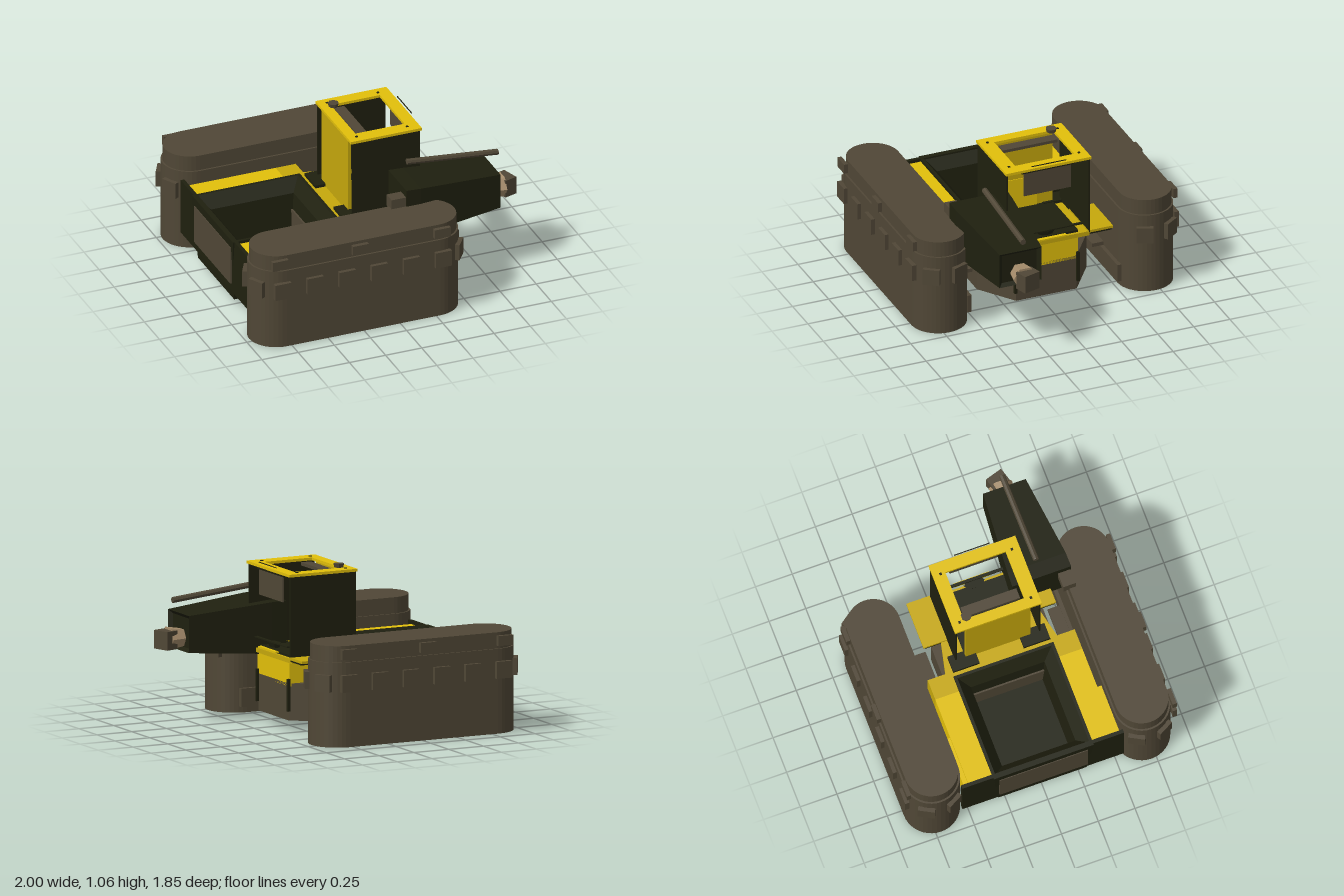
import * as THREE from 'three';

const mat = (name, color) => Object.assign(new THREE.MeshStandardMaterial({ color, side: THREE.DoubleSide, flatShading: true }), { name });

export function createModel() {
  const root = new THREE.Group();
  root.name = 'trackedHauler';
  const yellow = mat('bright yellow paint', 0xe2c00a);
  const dull = mat('dull yellow paint', 0xc6a80c);
  const dark = mat('dark olive', 0x1f200f);
  const grey = mat('brown grey', 0x504736);
  const tan = mat('tan metal', 0xa58c6b);

  const add = (name, geo, m, parent = root) => {
    const mesh = new THREE.Mesh(geo, m);
    mesh.name = name;
    parent.add(mesh);
    return mesh;
  };
  // box given by its limits
  const box = (name, m, x0, x1, y0, y1, z0, z1, parent = root) => add(name,
    new THREE.BoxGeometry(x1 - x0, y1 - y0, z1 - z0)
      .translate((x0 + x1) / 2, (y0 + y1) / 2, (z0 + z1) / 2), m, parent);
  // same box on both sides of the model
  const pair = (name, m, x0, x1, y0, y1, z0, z1) => {
    box(name, m, x0, x1, y0, y1, z0, z1);
    box(name, m, x0, x1, y0, y1, -z1, -z0);
  };
  // stack of rectangles [y, x0, x1, z0, z1] joined into a closed skin
  const loft = (sections) => {
    const rings = sections.map(([y, x0, x1, z0, z1]) =>
      [[x0, y, z1], [x1, y, z1], [x1, y, z0], [x0, y, z0]]);
    const pos = [];
    const quad = (a, b, c, d) => [a, b, c, a, c, d].forEach((p) => pos.push(...p));
    for (let i = 0; i + 1 < rings.length; i++) {
      for (let k = 0; k < 4; k++) {
        const n = (k + 1) % 4;
        quad(rings[i][k], rings[i][n], rings[i + 1][n], rings[i + 1][k]);
      }
    }
    const [a, b, c, d] = rings[0];
    quad(d, c, b, a);
    quad(...rings[rings.length - 1]);
    const g = new THREE.BufferGeometry();
    g.setAttribute('position', new THREE.Float32BufferAttribute(pos, 3));
    g.computeVertexNormals();
    return g;
  };
  // plan outline raised from y0 to y1
  const raise = (shape, y0, y1) => new THREE.ExtrudeGeometry(shape,
    { depth: y1 - y0, bevelEnabled: false, curveSegments: 10 }).rotateX(-Math.PI / 2).translate(0, y0, 0);
  const plan = (pts) => new THREE.Shape(pts.map(([x, z]) => new THREE.Vector2(x, -z)));
  const mirrored = (pts) => plan([...pts, ...pts.slice().reverse().map(([x, z]) => [x, -z])]);

  // track units with cleats
  const XA = -0.785, XB = 0.275, R = 0.185;
  const stadium = (r) => {
    const s = new THREE.Shape();
    s.moveTo(XA, -r);
    s.lineTo(XB, -r);
    s.absarc(XB, 0, r, -Math.PI / 2, Math.PI / 2, false);
    s.lineTo(XA, r);
    s.absarc(XA, 0, r, Math.PI / 2, Math.PI * 1.5, false);
    return s;
  };
  for (const side of [1, -1]) {
    const track = new THREE.Group();
    track.name = side > 0 ? 'trackNear' : 'trackFar';
    track.position.z = side * 0.715;
    root.add(track);
    add('trackBody', raise(stadium(R), 0, 0.55), grey, track);
    add('trackCap', raise(stadium(R - 0.012), 0.55, 0.655), grey, track);
    box('bottomSlot', dark, XA, XB, -0.002, 0.004, -0.012, 0.012, track);
    for (let i = 0; i < 6; i++) {
      const x = -0.82 + i * 0.222;
      box('cleat', grey, x - 0.056, x + 0.056, 0.36, 0.47, side * 0.195 - 0.015, side * 0.195 + 0.015, track);
    }
    for (const x of [-0.835, -0.28, 0.285]) {
      box('upperCleat', grey, x - 0.055, x + 0.055, 0.57, 0.635, side * 0.188 - 0.014, side * 0.188 + 0.014, track);
    }
    for (const [cx, base] of [[XA, Math.PI], [XB, 0]]) {
      for (const turn of [-0.5, 0.5]) {
        const a = base + turn - (base ? 0 : side * -0.12);
        const c = add('endCleat', new THREE.BoxGeometry(0.03, 0.11, 0.11), grey, track);
        c.position.set(cx + 0.196 * Math.cos(a), 0.415, 0.196 * Math.sin(a));
        c.rotation.y = -a;
      }
    }
    box('innerRail', grey, -0.56, 0.33, 0.04, 0.16, -side * 0.195 - 0.015, -side * 0.195 + 0.015, track);
    box('axleArm', grey, -0.14, 0.13, 0.21, 0.235, -side * 0.26 - 0.04, -side * 0.26 + 0.04, track);
  }

  // chassis
  add('hull', raise(mirrored([[-0.28, 0.38], [0.12, 0.38], [0.36, 0.21]]), 0.07, 0.31), grey);
  add('bellyPlate', loft([[0.02, -0.86, -0.3, -0.2, 0.2], [0.06, -0.9, -0.26, -0.29, 0.29]]), dark);
  box('bellyPanel', dark, -0.8, -0.36, 0.012, 0.02, -0.15, 0.15);
  box('noseBlock', yellow, -0.1, 0.36, 0.29, 0.48, -0.22, 0.22);
  pair('nosePost', dark, 0.355, 0.375, 0.13, 0.34, 0.205, 0.225);

  // hopper: outer skin, rim, sloped inside and floor
  add('hopper', loft([
    [0.06, -0.9, -0.24, -0.3, 0.3], [0.49, -0.925, -0.18, -0.34, 0.34],
    [0.5, -0.925, -0.18, -0.34, 0.34], [0.5, -0.9, -0.2, -0.32, 0.32],
    [0.42, -0.83, -0.26, -0.25, 0.25], [0.16, -0.81, -0.28, -0.23, 0.23],
  ]), dark);
  box('rearWall', dark, -0.915, -0.89, 0.12, 0.5, -0.55, 0.55);
  box('rearPanel', grey, -0.927, -0.915, 0.18, 0.44, -0.3, 0.3);
  pair('sideDeck', yellow, -0.89, -0.28, 0.3, 0.48, 0.335, 0.5);
  pair('sideDeckEnd', dull, -0.28, -0.14, 0.3, 0.48, 0.335, 0.5);
  pair('deckEdge', yellow, -0.89, -0.55, 0.3, 0.46, 0.5, 0.53);

  // deck and wings around the cab
  add('midDeck', raise(mirrored([[-0.185, 0.38], [-0.14, 0.38], [0.08, 0.33], [0.38, 0.29]]), 0.45, 0.48), dull);
  pair('deckHatch', dark, -0.15, -0.04, 0.48, 0.5, 0.15, 0.33);
  pair('wing', dull, 0.07, 0.39, 0.475, 0.492, 0.28, 0.45);
  pair('wingLip', dark, 0.07, 0.39, 0.465, 0.475, 0.29, 0.44);

  // cab
  pair('cabSide', dark, -0.08, 0.39, 0.48, 1.015, 0.28, 0.29);
  box('cabBack', dull, -0.08, -0.06, 0.48, 1.015, -0.22, 0.22);
  box('cabBackPatch', yellow, -0.06, -0.055, 0.495, 0.705, -0.11, 0.22);
  box('cabFloor', dark, -0.06, 0.36, 0.48, 0.495, -0.22, 0.22);
  box('cabCrossbar', grey, 0, 0.07, 0.99, 1.01, -0.2, 0.18);
  box('window', grey, 0.37, 0.38, 0.83, 0.995, -0.163, 0.163);
  box('windowHood', dark, 0.36, 0.385, 0.995, 1.015, -0.18, 0.18);
  box('frontRail', dark, 0.37, 0.39, 0.547, 0.555, -0.24, 0.24);
  box('frontStep', yellow, 0.385, 0.41, 0.495, 0.505, -0.12, 0.12);
  add('frontLamp', new THREE.CylinderGeometry(0.07, 0.05, 0.03, 8).scale(0.5, 1, 1).translate(0.355, 0.53, 0), dark);
  const roof = plan([[-0.09, 0.295], [0.4, 0.295], [0.4, -0.295], [-0.09, -0.295]]);
  roof.holes.push(new THREE.Path([[-0.02, 0.2], [-0.02, -0.21], [0.32, -0.21], [0.32, 0.2]]
    .map(([x, z]) => new THREE.Vector2(x, -z))));
  add('roofFrame', raise(roof, 1.012, 1.03), yellow);
  add('roofKnob', new THREE.CylinderGeometry(0.036, 0.03, 0.025, 7).translate(-0.01, 1.043, -0.19), grey);
  for (const x of [-0.03, 0.32]) pair('roofBolt', dark, x - 0.008, x + 0.008, 1.03, 1.034, 0.235, 0.25);
  box('roofBar', dark, 0.4, 0.406, 1.046, 1.05, -0.12, 0.12);

  // tapered side pod, lofted upward and then laid along x, with a recessed front
  add('sidePod', loft([
    [0.17, -0.77, -0.43, 0.19, 0.59], [0.27, -0.765, -0.43, 0.195, 0.59],
    [0.845, -0.715, -0.475, 0.24, 0.53], [0.82, -0.69, -0.495, 0.265, 0.505],
  ]).rotateZ(-Math.PI / 2), dark);
  box('podMount', grey, 0.07, 0.28, 0.64, 0.72, 0.5, 0.585);
  add('podNeck', new THREE.CylinderGeometry(0.08, 0.06, 0.11, 6).rotateZ(-Math.PI / 2).translate(0.865, 0.555, 0.385), tan);
  const tip = add('podTip', new THREE.BoxGeometry(0.09, 0.12, 0.12), grey);
  tip.position.set(0.94, 0.55, 0.375);
  tip.rotation.y = 0.3;
  const pipe = new THREE.LineCurve3(new THREE.Vector3(0.26, 0.86, 0.385), new THREE.Vector3(0.885, 0.8, 0.385));
  add('barrel', new THREE.TubeGeometry(pipe, 1, 0.02, 8), grey);
  for (const [x, y] of [[0.261, 0.86], [0.884, 0.8]]) {
    add('barrelCap', new THREE.CylinderGeometry(0.02, 0.02, 0.006, 8).rotateZ(Math.PI / 2).translate(x, y, 0.385), grey);
  }

  return root;
}
